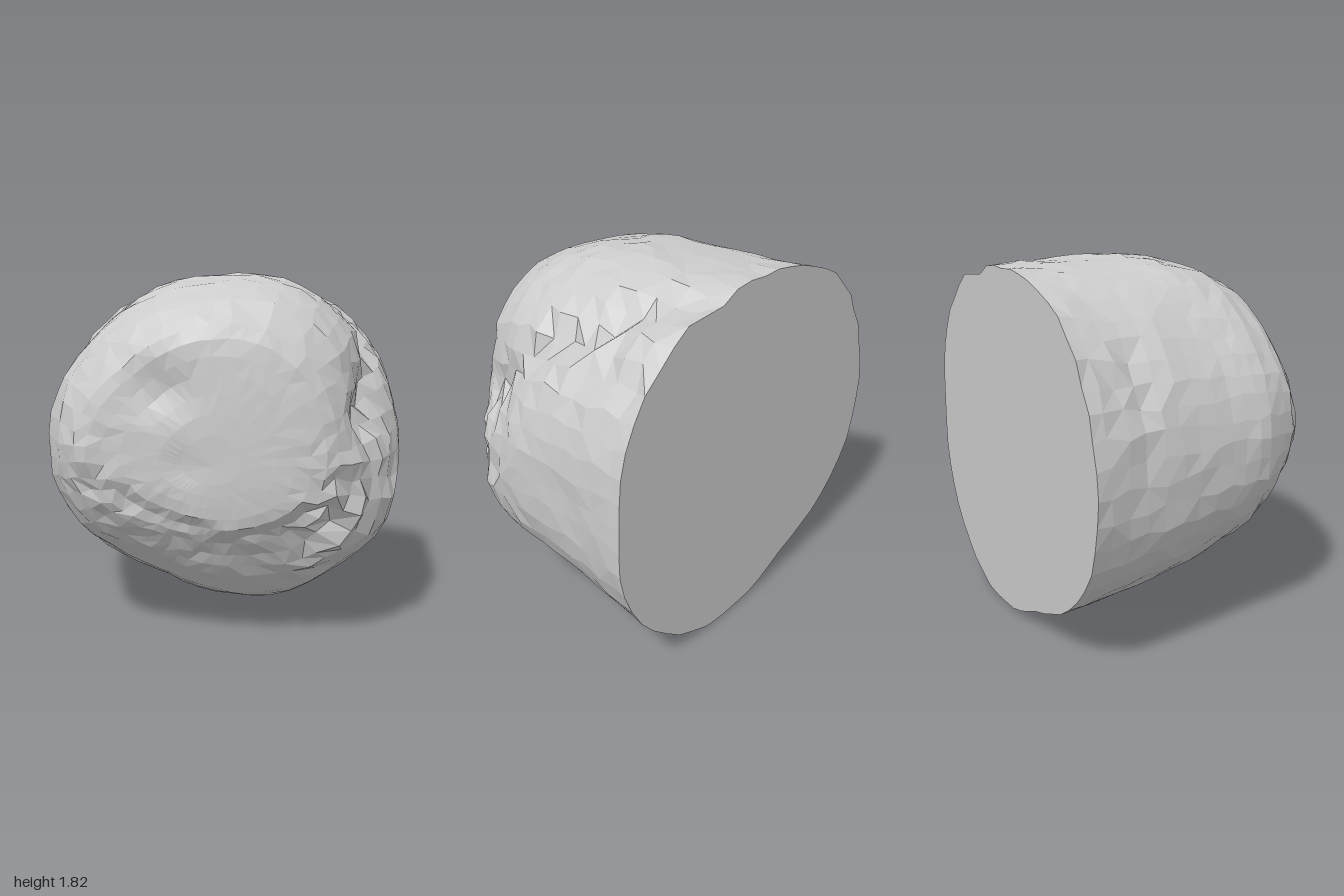
import * as THREE from 'three';

const CY = 0.92;      // height of the axis the sections are drawn around
const SIDES = 52;

// Cross-sections from back to front: depth, then radii every 22.5 degrees from +x towards +y
const SECTIONS = [
  { z: -0.68, r: [0.99, 1.01, 0.98, 0.92, 0.87, 0.9, 0.96, 0.98, 1.0, 0.99, 0.92, 0.85, 0.9, 0.98, 1.02, 1.03] },
  { z: -0.25, r: [0.94, 0.97, 0.94, 0.94, 0.88, 0.89, 0.9, 0.91, 0.91, 0.93, 0.87, 0.8, 0.86, 0.93, 0.95, 0.97] },
  { z: 0.05, r: [0.95, 0.94, 0.94, 0.94, 0.9, 0.89, 0.86, 0.87, 0.87, 0.86, 0.8, 0.75, 0.8, 0.86, 0.89, 0.95] },
  { z: 0.3, r: [0.87, 0.8, 0.89, 0.9, 0.85, 0.85, 0.84, 0.86, 0.85, 0.81, 0.71, 0.67, 0.71, 0.78, 0.84, 0.91] },
  { z: 0.5, r: [0.72, 0.7, 0.8, 0.81, 0.77, 0.76, 0.76, 0.78, 0.76, 0.69, 0.57, 0.52, 0.53, 0.58, 0.68, 0.77] },
  { z: 0.61, r: [0.59, 0.61, 0.66, 0.67, 0.65, 0.63, 0.62, 0.66, 0.66, 0.57, 0.45, 0.4, 0.39, 0.42, 0.48, 0.57] },
];

const hash = (a, b) => {
  const s = Math.sin(a * 127.1 + b * 311.7) * 43758.5453;
  return (s - Math.floor(s)) * 2 - 1;
};
const bell = (d, width) => Math.exp(-(d * d) / (width * width));

function spline(p0, p1, p2, p3, t) {
  return p1 + 0.5 * t * (p2 - p0 + t * (2 * p0 - 5 * p1 + 4 * p2 - p3 + t * (3 * (p1 - p2) + p3 - p0)));
}

function sectionRadius(r, angle) {
  const f = (angle / (Math.PI * 2)) * 16, k = Math.floor(f);
  const at = (i) => r[(i + 16) % 16];
  return spline(at(k - 1), at(k), at(k + 1), at(k + 2), f - k);
}

function bodyRadius(z, angle) {
  let k = 0;
  while (k < SECTIONS.length - 2 && z > SECTIONS[k + 1].z) k++;
  const a = SECTIONS[k], b = SECTIONS[k + 1];
  const t = (z - a.z) / (b.z - a.z);
  let r = THREE.MathUtils.lerp(sectionRadius(a.r, angle), sectionRadius(b.r, angle), t);
  // groove between the main lobe and the right shoulder
  const groove = THREE.MathUtils.degToRad(THREE.MathUtils.mapLinear(z, -0.5, 0.35, 60, 20));
  if (z < 0.48) r -= 0.055 * bell(angle - groove, 0.12);
  // crease behind the lobe on the other side
  r -= 0.03 * bell(angle - 2.6, 0.45) * bell(z + 0.42, 0.12);
  return r;
}

// Front face relief: dome with a brow hollow and a small chip
function faceDepth(x, y, t) {
  let z = 0.61 + 0.06 * Math.sqrt(1 - t * t) + 0.04 * x * (1 - t * t);
  z -= 0.045 * bell(x + 0.24, 0.15) * bell(y - 1.27, 0.11);
  return z - 0.02 * bell(x + 0.1, 0.08) * bell(y - 0.92, 0.07);
}

// Ledge under the overhanging lower edge of the face
function ledgeDepth(x, y, z) {
  const lip = 0.6 + 0.42 * Math.abs(x - 0.1);
  const below = 1 - THREE.MathUtils.smoothstep(y, lip - 0.06, lip);
  return 0.035 * below * THREE.MathUtils.smoothstep(z, 0.42, 0.6);
}

// How broken the surface is: rough along the lower front edge, most on the right
function roughness(x, y, z) {
  const lowerRight = bell(x - 0.65, 0.3) * bell(y - 0.7, 0.3) * bell(z - 0.42, 0.24);
  const lowerLeft = bell(x + 0.5, 0.35) * bell(y - 0.85, 0.18) * bell(z - 0.6, 0.15);
  const shoulder = bell(x - 0.68, 0.22) * bell(y - 1.5, 0.28) * bell(z + 0.45, 0.4);
  const crease = bell(x + 0.85, 0.15) * bell(y - 1.3, 0.3) * bell(z + 0.45, 0.2);
  return 0.006 + 0.032 * lowerRight + 0.018 * lowerLeft + 0.018 * shoulder + 0.015 * crease;
}

function createRockGeometry() {
  const pos = [], index = [];
  const depths = [-0.68, -0.6, -0.5, -0.4, -0.3, -0.2, -0.1, 0, 0.09, 0.17, 0.25, 0.32, 0.39, 0.45, 0.51, 0.56, 0.61];
  const shrink = [0.9, 0.78, 0.65, 0.51, 0.37, 0.22];
  const rings = depths.length + shrink.length;

  for (let i = 0; i < rings; i++) {
    const onFace = i >= depths.length;
    const t = onFace ? shrink[i - depths.length] : 1;
    for (let j = 0; j < SIDES; j++) {
      const twist = i === 0 ? 0 : hash(i, j + 90) * 0.02;
      const angle = (j / SIDES) * Math.PI * 2;
      let z = onFace ? 0.61 : depths[i];
      const base = bodyRadius(z, angle) * t;
      let x = Math.cos(angle + twist) * base;
      let y = CY + Math.sin(angle + twist) * base;
      if (onFace) z = faceDepth(x, y, t);
      z -= ledgeDepth(x, y, z);
      // breakage fades out towards the middle of the face
      const rough = roughness(x, y, z) * t * t * t;
      const bump = hash(i + 3, j) * rough;
      x += Math.cos(angle) * bump;
      y += Math.sin(angle) * bump;
      if (i > 0) z += hash(i, j + 40) * rough;
      pos.push(x, Math.max(0, y), z);
    }
  }

  // skin between neighbouring rings
  for (let i = 0; i < rings - 1; i++) {
    for (let j = 0; j < SIDES; j++) {
      const n = (j + 1) % SIDES;
      const a = i * SIDES + j, b = i * SIDES + n;
      const c = b + SIDES, d = a + SIDES;
      if (hash(i, j) > 0) index.push(a, b, c, a, c, d);
      else index.push(a, b, d, b, c, d);
    }
  }

  // flat back and centre of the front face
  const back = pos.length / 3;
  pos.push(0, CY, -0.68, 0, CY, faceDepth(0, CY, 0));
  const last = (rings - 1) * SIDES;
  for (let j = 0; j < SIDES; j++) {
    const n = (j + 1) % SIDES;
    index.push(back, n, j, back + 1, last + j, last + n);
  }

  const geometry = new THREE.BufferGeometry();
  geometry.setAttribute('position', new THREE.Float32BufferAttribute(pos, 3));
  geometry.setIndex(index);
  geometry.computeVertexNormals();
  return geometry;
}

export function createModel() {
  const group = new THREE.Group();
  group.name = 'boulder';
  const material = new THREE.MeshStandardMaterial({ color: 0xcccccc, flatShading: true });
  const rock = new THREE.Mesh(createRockGeometry(), material);
  rock.name = 'rockBody';
  group.add(rock);
  return group;
}
